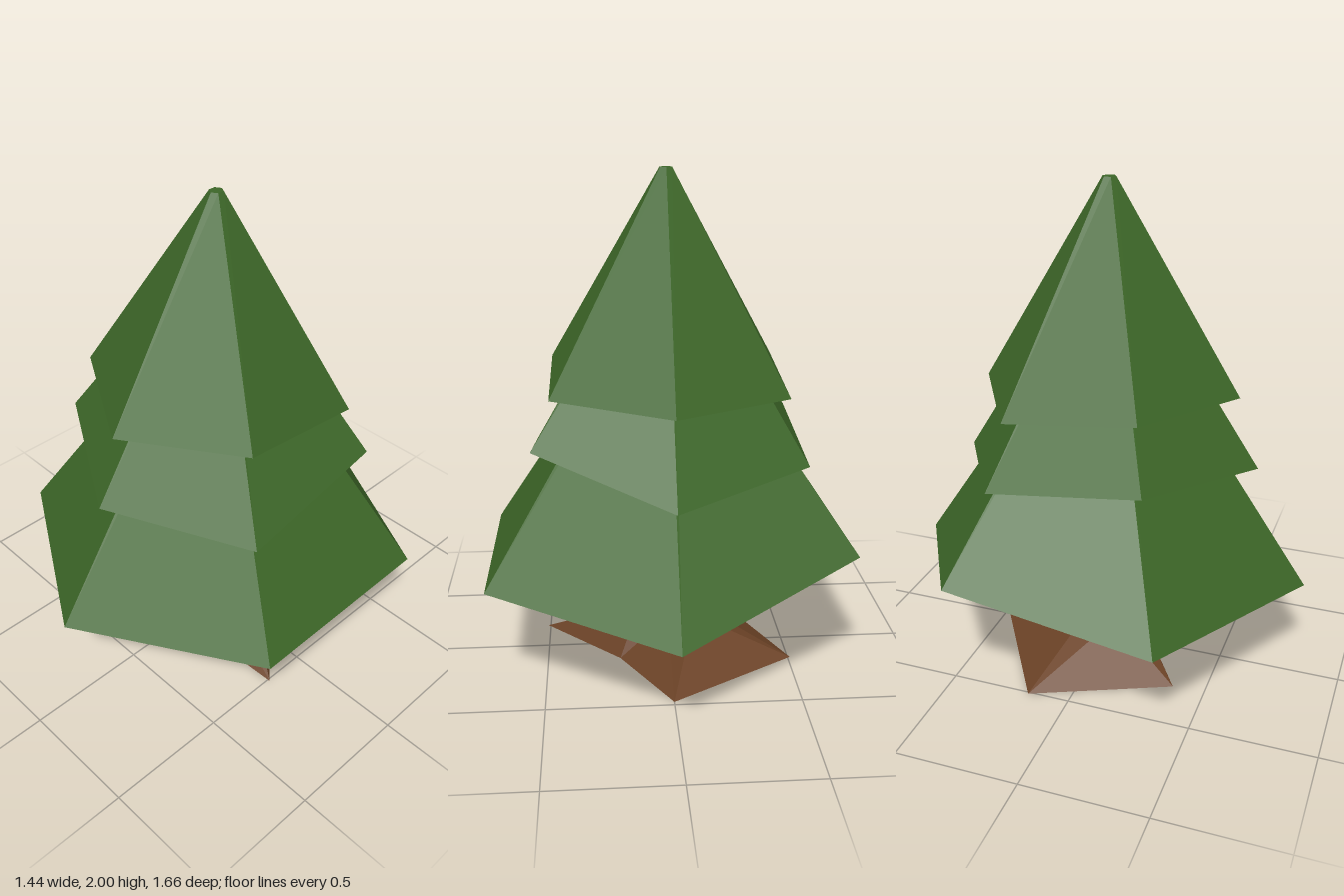
import * as THREE from 'three';

const SIDES = 6;

// Regular hexagon ring; heights is one number or one per corner (corner 0 faces +z, then towards +x)
function hexRing(radius, heights) {
  return Array.from({ length: SIDES }, (_, i) => {
    const a = (i * Math.PI * 2) / SIDES;
    const y = Array.isArray(heights) ? heights[i] : heights;
    return new THREE.Vector3(radius * Math.sin(a), y, radius * Math.cos(a));
  });
}

// Closed faceted solid through rings listed from top to bottom
function loft(rings) {
  const pos = [];
  const tri = (...pts) => pts.forEach((p) => pos.push(p.x, p.y, p.z));
  const centre = (ring) => ring.reduce((s, p) => s.add(p), new THREE.Vector3()).divideScalar(SIDES);
  const top = rings[0];
  const bottom = rings[rings.length - 1];
  const topMid = centre(top);
  const bottomMid = centre(bottom);
  for (let i = 0; i < SIDES; i++) {
    const j = (i + 1) % SIDES;
    for (let r = 0; r < rings.length - 1; r++) {
      const up = rings[r];
      const low = rings[r + 1];
      tri(up[i], low[i], up[j]);
      tri(low[i], low[j], up[j]);
    }
    tri(topMid, top[i], top[j]);
    tri(bottomMid, bottom[j], bottom[i]);
  }
  const geo = new THREE.BufferGeometry();
  geo.setAttribute('position', new THREE.Float32BufferAttribute(pos, 3));
  geo.computeVertexNormals();
  return geo;
}

export function createModel() {
  const needles = new THREE.MeshStandardMaterial({ color: 0x3d6728, flatShading: true });
  needles.name = 'needleGreen';
  const bark = new THREE.MeshStandardMaterial({ color: 0x6b4226, flatShading: true });
  bark.name = 'barkBrown';

  const tree = new THREE.Group();
  tree.name = 'pineTree';
  const add = (name, rings, material) => {
    const mesh = new THREE.Mesh(loft(rings), material);
    mesh.name = name;
    tree.add(mesh);
  };

  // Foliage tiers with uneven lower rims
  const tiers = [
    { name: 'lowerFoliage', radius: 0.83, rim: [0.42, 0.44, 0.455, 0.395, 0.56, 0.435], topRadius: 0.03, top: 1.58 },
    { name: 'middleFoliage', radius: 0.615, rim: [0.905, 0.84, 0.977, 0.835, 0.895, 0.972], topRadius: 0.03, top: 1.78 },
    { name: 'upperFoliage', radius: 0.53, rim: [1.19, 1.215, 1.165, 1.16, 1.155, 1.215], topRadius: 0.027, top: 2 },
  ];
  for (const t of tiers) {
    add(t.name, [hexRing(t.topRadius, t.top), hexRing(t.radius, t.rim)], needles);
  }

  // Trunk flaring into irregular roots
  const rootTips = [[0, 0.2], [0.51, 0.18], [0.2, -0.13], [0, -0.48], [-0.51, -0.17], [-0.27, 0.37]];
  add('trunkAndRoots', [
    hexRing(0.118, 0.6),
    hexRing(0.131, [0.145, 0.125, 0.222, 0.19, 0.16, 0.162]),
    rootTips.map(([x, z]) => new THREE.Vector3(x, 0, z)),
  ], bark);

  return tree;
}
